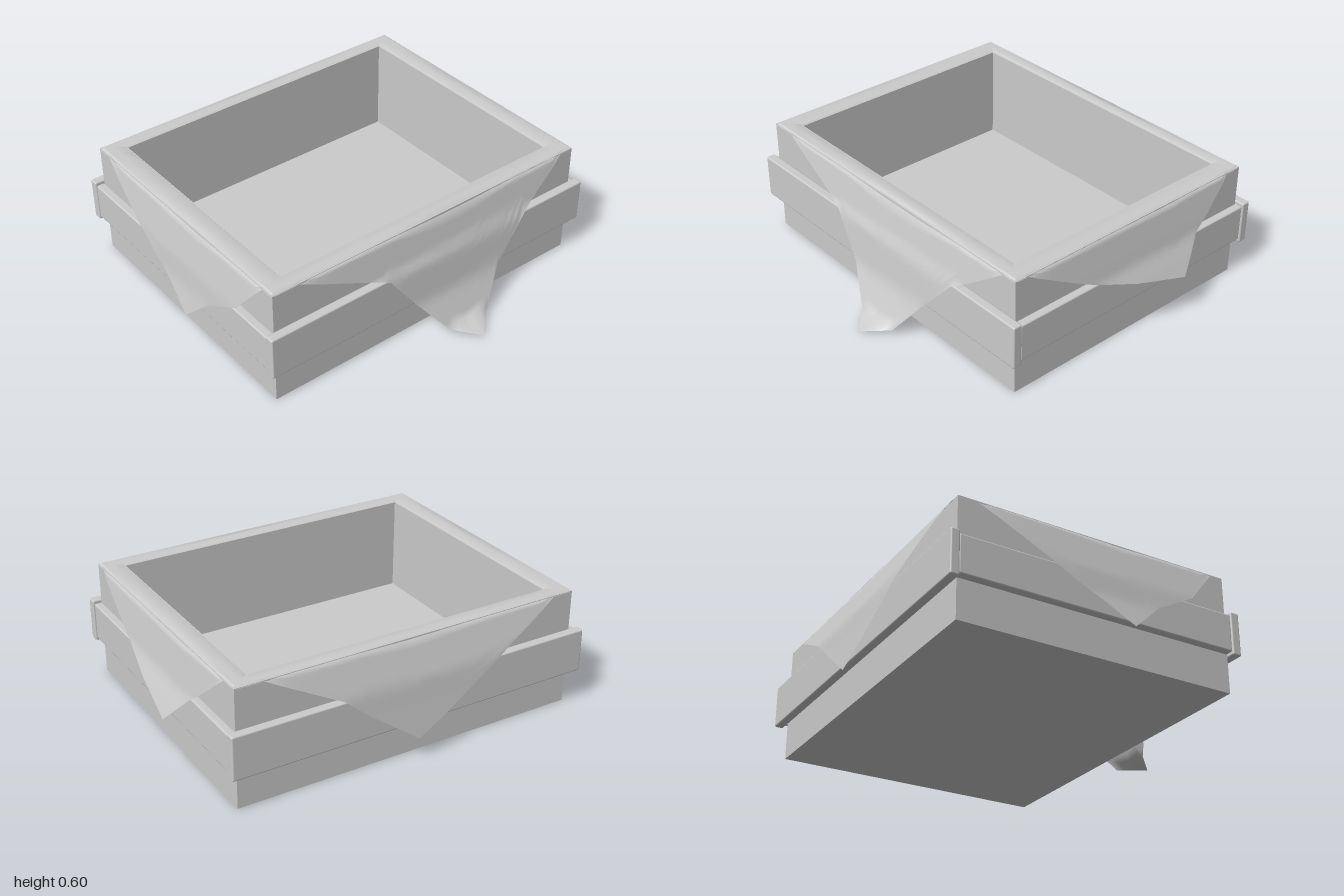
import * as THREE from 'three';
import { RoundedBoxGeometry } from 'three/addons/geometries/RoundedBoxGeometry.js';

const grey = new THREE.MeshStandardMaterial({ color: 0xcccccc });
const clothGrey = new THREE.MeshStandardMaterial({ color: 0xcccccc, side: THREE.DoubleSide });

// Outer and inner extents of the crate
const OUT = { x0: -0.91, x1: 0.88, z0: -0.80, z1: 0.62 };
const IN = { x0: -0.80, x1: 0.775, z0: -0.72, z1: 0.53 };
const TOP = 0.6, FLOOR = 0.11;

function add(group, name, geometry, material = grey) {
  const mesh = new THREE.Mesh(geometry, material);
  mesh.name = name;
  group.add(mesh);
  return mesh;
}

function board(group, name, x0, x1, y0, y1, z0, z1, r = 0.008) {
  const mesh = add(group, name, new RoundedBoxGeometry(x1 - x0, y1 - y0, z1 - z0, 2, r));
  mesh.position.set((x0 + x1) / 2, (y0 + y1) / 2, (z0 + z1) / 2);
}

function rectangle(Type, e) {
  return new Type([[e.x0, -e.z1], [e.x1, -e.z1], [e.x1, -e.z0], [e.x0, -e.z0]]
    .map(([x, y]) => new THREE.Vector2(x, y)));
}

// Linear lookup in [key, value] pairs with rising keys
function lookup(pairs, k) {
  if (k <= pairs[0][0]) return pairs[0][1];
  for (let i = 1; i < pairs.length; i++) {
    const [k0, v0] = pairs[i - 1], [k1, v1] = pairs[i];
    if (k <= k1) return THREE.MathUtils.lerp(v0, v1, (k - k0) / (k1 - k0));
  }
  return pairs[pairs.length - 1][1];
}

// One cloth side: strip over the rim, then a drape falling to its hem.
// hem: [position along side, height]; flare: [height, distance off the wall]
function drape({ hem, flare, place, outer, inner, depth, flip }) {
  const inset = 0.012, rows = 18, cols = [];
  const profile = [...flare, [0.585, 0.008], [TOP, -inset]];
  const edge = [[outer[0] + inset, 0.59], ...hem, [outer[1] - inset, 0.59]];
  edge.forEach(([t], i) => {
    if (i) for (const f of [0.25, 0.5, 0.75]) cols.push(THREE.MathUtils.lerp(edge[i - 1][0], t, f));
    cols.push(t);
  });
  cols.sort((a, b) => a - b);
  const pos = [], index = [], stride = rows + 4;
  cols.forEach((t, c) => {
    const s = (t - edge[0][0]) / (edge[edge.length - 1][0] - edge[0][0]);
    const ti = THREE.MathUtils.lerp(inner[0], inner[1], s);
    pos.push(...place(ti, TOP - 0.012, -depth));
    pos.push(...place(THREE.MathUtils.lerp(ti, t, 0.1), TOP, -depth + 0.01));
    pos.push(...place(THREE.MathUtils.lerp(ti, t, 0.6), TOP, -depth * 0.45));
    const low = lookup(edge, t);
    for (let r = 0; r <= rows; r++) {
      const y = THREE.MathUtils.lerp(TOP, low, r / rows);
      pos.push(...place(t, y, lookup(profile, y)));
    }
    if (c) for (let r = 0; r < stride - 1; r++) {
      const a = (c - 1) * stride + r, b = a + stride;
      if (flip) index.push(a, b, a + 1, b, b + 1, a + 1);
      else index.push(a, a + 1, b, b, a + 1, b + 1);
    }
  });
  const g = new THREE.BufferGeometry();
  g.setAttribute('position', new THREE.Float32BufferAttribute(pos, 3));
  g.setIndex(index);
  g.computeVertexNormals();
  return g;
}

export function createModel() {
  const group = new THREE.Group();
  group.name = 'clothLinedCrate';

  // Crate walls and floor
  const shape = rectangle(THREE.Shape, OUT);
  shape.holes.push(rectangle(THREE.Path, IN));
  const walls = new THREE.ExtrudeGeometry(shape, { depth: TOP - 0.006, bevelEnabled: false });
  add(group, 'crateWalls', walls.rotateX(-Math.PI / 2));
  board(group, 'crateFloor', IN.x0 - 0.02, IN.x1 + 0.02, 0, FLOOR, IN.z0 - 0.02, IN.z1 + 0.02, 0.0005);

  // Boards wrapped around the middle
  board(group, 'frontBoard', -0.955, 0.925, 0.18, 0.40, 0.62, 0.667);
  board(group, 'backBoard', -0.955, 0.925, 0.18, 0.40, -0.853, -0.808);
  board(group, 'leftBoard', 0.875, 0.918, 0.195, 0.385, -0.81, 0.62);
  board(group, 'rightBoard', -0.95, -0.905, 0.195, 0.385, -0.81, 0.62);

  // Cloth over the rim, hanging to a point on every side
  const alongX = { outer: [OUT.x0, OUT.x1], inner: [IN.x0, IN.x1] };
  const alongZ = { outer: [OUT.z0, OUT.z1], inner: [IN.z0, IN.z1] };
  add(group, 'frontDrape', drape({
    ...alongX, depth: OUT.z1 - IN.z1, flip: false,
    place: (t, y, o) => [t, y, OUT.z1 + o],
    hem: [[-0.77, 0.59], [-0.4, 0.435], [-0.31, 0.4], [-0.16, 0.2], [-0.02, 0.03],
      [0.09, 0.01], [0.21, 0.03], [0.34, 0.2], [0.52, 0.4], [0.58, 0.435], [0.8, 0.59]],
    flare: [[0.01, 0.27], [0.03, 0.16], [0.2, 0.085], [0.4, 0.06], [0.435, 0.04]],
  }), clothGrey);
  add(group, 'backDrape', drape({
    ...alongX, depth: IN.z0 - OUT.z0, flip: true,
    place: (t, y, o) => [t, y, OUT.z0 - o],
    hem: [[-0.8, 0.59], [-0.54, 0.45], [-0.13, 0.19], [0, 0.12], [0.26, 0.31], [0.38, 0.41], [0.74, 0.59]],
    flare: [[0.12, 0.09], [0.3, 0.07], [0.41, 0.06]],
  }), clothGrey);
  add(group, 'leftDrape', drape({
    ...alongZ, depth: OUT.x1 - IN.x1, flip: true,
    place: (t, y, o) => [OUT.x1 + o, y, t],
    hem: [[-0.71, 0.59], [-0.55, 0.45], [-0.47, 0.39], [-0.33, 0.24], [-0.05, 0.315],
      [0.17, 0.39], [0.3, 0.455], [0.55, 0.59]],
    flare: [[0.24, 0.12], [0.315, 0.085], [0.39, 0.046], [0.45, 0.035]],
  }), clothGrey);
  add(group, 'rightDrape', drape({
    ...alongZ, depth: IN.x0 - OUT.x0, flip: false,
    place: (t, y, o) => [OUT.x0 - o, y, t],
    hem: [[-0.71, 0.59], [-0.25, 0.32], [-0.13, 0.26], [0.04, 0.15], [0.19, 0.29], [0.4, 0.41], [0.55, 0.59]],
    flare: [[0.15, 0.09], [0.28, 0.06], [0.4, 0.048]],
  }), clothGrey);

  return group;
}
